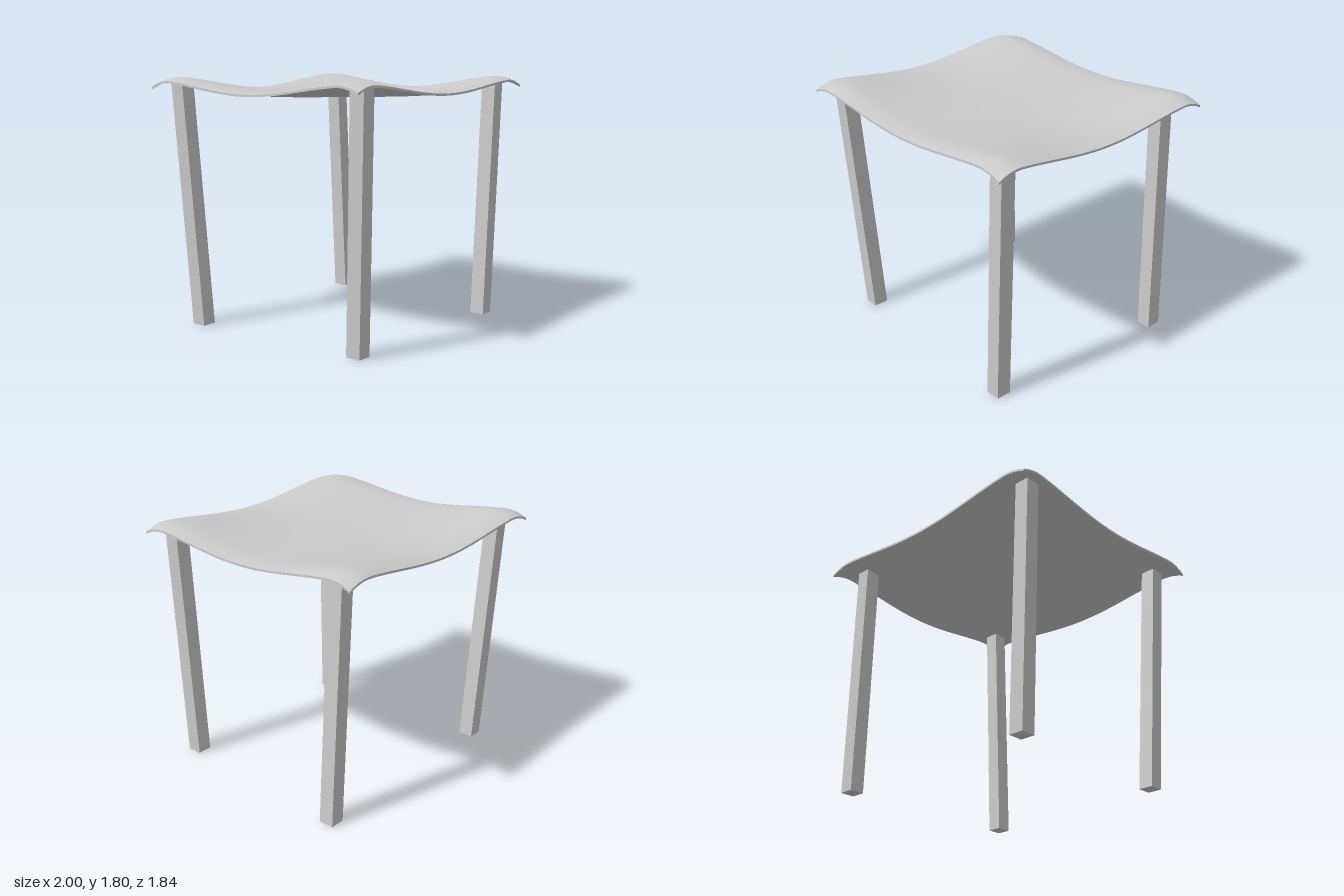
import * as THREE from 'three';

const material = new THREE.MeshStandardMaterial({ color: 0xcccccc });
const HALF_X = 1, HALF_Z = 0.918;

// Height of the seat's top: sagging middle, raised over the legs, rim and corner tips curling down
function seatHeight(u, v) {
  const swell = t => Math.sin(t * Math.PI / 2) ** 2;
  const curl = t => Math.max(0, (Math.abs(t) - 0.8) / 0.2) ** 2;
  return 1.69 + 0.082 * swell(u) * swell(v) + 0.03 * (u * u + v * v)
    - 0.05 * (curl(u) * (0.4 + 0.6 * v * v) + curl(v) * (0.4 + 0.6 * u * u));
}

// Thin draped seat, a fine box bent by the height rule
function makeSeat() {
  const geometry = new THREE.BoxGeometry(2, 1, 2, 48, 1, 48);
  const p = geometry.attributes.position;
  for (let i = 0; i < p.count; i++) {
    const u = p.getX(i), v = p.getZ(i);
    const rim = Math.max(Math.abs(u), Math.abs(v)) ** 8;
    const thickness = p.getY(i) < 0 ? 0.03 - 0.015 * rim : 0;
    p.setXYZ(i, u * HALF_X, seatHeight(u, v) - thickness, v * HALF_Z);
  }
  geometry.computeVertexNormals();
  const seat = new THREE.Mesh(geometry, material);
  seat.name = 'seat';
  return seat;
}

// Square leg leaning from its foot centre to its top centre
function makeLeg(name, [footX, footZ], [topX, topZ]) {
  const height = 1.765;
  const geometry = new THREE.BoxGeometry(0.108, height, 0.11);
  geometry.translate(0, height / 2, 0);
  const p = geometry.attributes.position;
  for (let i = 0; i < p.count; i++) {
    const t = p.getY(i) / height;
    p.setX(i, p.getX(i) + THREE.MathUtils.lerp(footX, topX, t));
    p.setZ(i, p.getZ(i) + THREE.MathUtils.lerp(footZ, topZ, t));
  }
  geometry.computeVertexNormals();
  const leg = new THREE.Mesh(geometry, material);
  leg.name = name;
  return leg;
}

export function createModel() {
  const stool = new THREE.Group();
  stool.name = 'stool';
  stool.add(
    makeSeat(),
    makeLeg('frontLeftLeg', [0.785, 0.74], [0.855, 0.762]),
    makeLeg('frontRightLeg', [-0.715, 0.705], [-0.795, 0.795]),
    makeLeg('backLeftLeg', [0.89, -0.673], [0.825, -0.705]),
    makeLeg('backRightLeg', [-0.758, -0.688], [-0.87, -0.743])
  );
  return stool;
}
